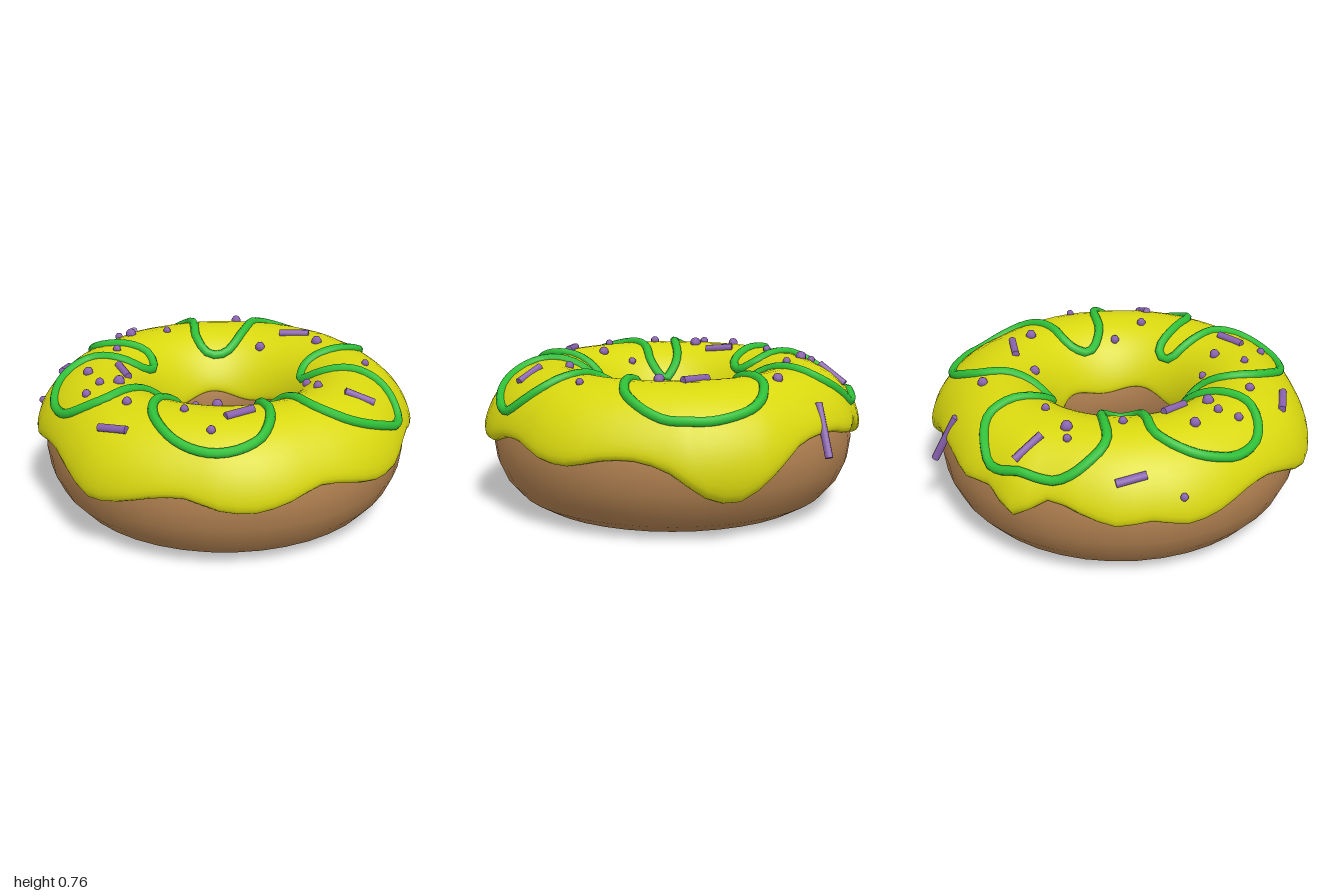
import * as THREE from 'three';
import { ParametricGeometry } from 'three/addons/geometries/ParametricGeometry.js';

const material = (name, color) => Object.assign(new THREE.MeshStandardMaterial({ color }), { name });

// Ring cross-section: centre radius, centre height and radii of the dough
const RING = 0.62, MID = 0.35, RX = 0.31, RY = 0.35;
const TOP_COAT = 0.023, INNER_COAT = 0.014;

// Height of the dripping icing edge every 10 degrees, from the front towards +x
const DRIPS = [
  0.315, 0.34, 0.39, 0.41, 0.36, 0.345, 0.38, 0.43, 0.40, 0.36, 0.365, 0.415,
  0.42, 0.37, 0.36, 0.40, 0.41, 0.36, 0.24, 0.21, 0.32, 0.43, 0.46, 0.45,
  0.41, 0.43, 0.34, 0.45, 0.41, 0.36, 0.38, 0.345, 0.37, 0.42, 0.43, 0.38,
];

function dripHeight(theta) {
  const n = DRIPS.length;
  const f = ((theta / (Math.PI * 2)) * n + n) % n;
  const i = Math.floor(f), t = f - i;
  const [a, b, c, d] = [-1, 0, 1, 2].map(k => DRIPS[(i + k + n) % n]);
  return b + 0.5 * t * (c - a + t * (2 * a - 5 * b + 4 * c - d + t * (3 * (b - c) + d - a)));
}

// Low drips are thicker
const outerCoat = theta =>
  THREE.MathUtils.clamp(0.037 + (0.42 - dripHeight(theta)) * 0.25, 0.024, 0.067);

// Point on the upper icing surface above (x, z)
function onIcing(x, z, lift = 0) {
  const d = Math.hypot(x, z) - RING;
  const rx = RX + (d > 0 ? outerCoat(Math.atan2(x, z)) : INNER_COAT);
  const y = MID + (RY + TOP_COAT) * Math.sqrt(Math.max(0, 1 - (d / rx) ** 2));
  return new THREE.Vector3(x, y + lift, z);
}

// Icing shell: u runs around the ring, v from the outer lip over the top to the inner lip
function icingPoint(u, v, target) {
  const theta = u * Math.PI * 2;
  const s = -Math.cos(v * Math.PI);
  const start = Math.asin((dripHeight(theta) - MID) / RY);
  const end = Math.PI - 0.2 - 0.06 * Math.sin(theta * 5);
  const a = THREE.MathUtils.lerp(start, end, (s + 1) / 2);
  const w = Math.sqrt(Math.max(0, 1 - Math.abs(s) ** 24)) * 1.06 - 0.06;
  const side = Math.cos(a) > 0 ? outerCoat(theta) : INNER_COAT;
  const r = RING + (RX + side * w) * Math.cos(a);
  const y = MID + (RY + TOP_COAT * w) * Math.sin(a);
  target.set(r * Math.sin(theta), y, r * Math.cos(theta));
}

// Five-lobed piped line, seen from above as x, z pairs
const PIPING = [
  -0.02, -0.91, 0.2, -0.86, 0.33, -0.7, 0.3, -0.53, 0.23, -0.385, 0.28, -0.28, 0.4, -0.275,
  0.56, -0.37, 0.72, -0.4, 0.86, -0.32, 0.89, -0.13, 0.825, 0.05, 0.68, 0.14, 0.53, 0.11,
  0.4, 0.075, 0.36, 0.15, 0.455, 0.25, 0.59, 0.345, 0.655, 0.5, 0.56, 0.67, 0.35, 0.75,
  0.16, 0.69, 0.07, 0.555, 0.05, 0.41, -0.015, 0.35, -0.09, 0.41, -0.11, 0.58, -0.14, 0.725,
  -0.285, 0.81, -0.47, 0.75, -0.6, 0.58, -0.59, 0.4, -0.47, 0.31, -0.38, 0.23, -0.39, 0.13,
  -0.47, 0.09, -0.58, 0.14, -0.735, 0.21, -0.88, 0.105, -0.91, -0.105, -0.86, -0.32,
  -0.68, -0.42, -0.55, -0.355, -0.435, -0.25, -0.34, -0.23, -0.26, -0.32, -0.275, -0.475,
  -0.33, -0.635, -0.26, -0.82,
];

// Rod sprinkles: centre x, z and span dx, dz
const RODS = [
  [-0.62, -0.69, 0.025, 0.12], [-0.015, -0.59, 0.135, -0.085], [-0.82, -0.14, 0.11, 0.09],
  [0.745, -0.145, 0.11, -0.09], [-0.82, 0.37, 0.08, 0.12], [-0.33, 0.405, 0.135, 0.06],
  [0.485, 0.445, -0.05, 0.14], [0.05, 0.845, 0.15, -0.035],
];

// Bead sprinkles: x, z and radius
const BEADS = [
  [-0.42, -0.57, 0.027], [-0.12, -0.425, 0.027], [0.155, -0.57, 0.028], [0.525, -0.5, 0.02],
  [0.395, -0.18, 0.024], [0.54, -0.08, 0.024], [-0.57, -0.16, 0.021], [-0.69, 0, 0.03],
  [-0.755, 0.03, 0.021], [-0.56, 0.23, 0.022], [-0.745, 0.6, 0.02], [-0.44, 0.545, 0.027],
  [-0.22, 0.54, 0.03], [-0.285, 0.61, 0.023], [-0.275, 0.71, 0.023], [-0.01, 0.69, 0.024],
  [0.16, 0.395, 0.021], [0.315, 0.41, 0.027], [0.265, 0.585, 0.021], [0.465, 0.62, 0.022],
];

export function createModel() {
  const model = new THREE.Group();
  model.name = 'donut';
  const doughMat = material('brown dough', 0xb08050);
  const icingMat = material('yellow icing', 0xd9d80f);
  const pipingMat = material('green piping', 0x2fc038);
  const sprinkleMat = material('purple sprinkle', 0x8a62b0);

  const add = (name, geometry, mat, parent = model) => {
    const mesh = new THREE.Mesh(geometry, mat);
    mesh.name = name;
    parent.add(mesh);
    return mesh;
  };

  // Dough ring, profile seam hidden under the icing
  const profile = [];
  for (let i = 0; i <= 20; i++) {
    const a = Math.PI / 2 + (i / 20) * Math.PI * 2;
    profile.push(new THREE.Vector2(RING + RX * Math.cos(a), MID + RY * Math.sin(a)));
  }
  add('dough', new THREE.LatheGeometry(profile, 40), doughMat);

  // Dripping icing
  add('icing', new ParametricGeometry(icingPoint, 72, 28), icingMat);

  // Piped line draped over the icing
  const flat = [];
  for (let i = 0; i < PIPING.length; i += 2) flat.push(new THREE.Vector3(PIPING[i], 0, PIPING[i + 1]));
  const outline = new THREE.CatmullRomCurve3(flat, true);
  const draped = [];
  for (let i = 0; i < 120; i++) {
    const p = outline.getPoint(i / 120);
    draped.push(onIcing(p.x, p.z, 0.003));
  }
  const path = new THREE.CatmullRomCurve3(draped, true);
  add('piping', new THREE.TubeGeometry(path, 200, 0.024, 8, true), pipingMat);

  // Sprinkles
  const sprinkles = new THREE.Group();
  sprinkles.name = 'sprinkles';
  model.add(sprinkles);
  const up = new THREE.Vector3(0, 1, 0);
  for (const [x, z, dx, dz] of RODS) {
    const a = onIcing(x - dx / 2, z - dz / 2, 0.008);
    const b = onIcing(x + dx / 2, z + dz / 2, 0.008);
    const rod = add('rodSprinkle', new THREE.CylinderGeometry(0.02, 0.02, a.distanceTo(b), 8), sprinkleMat, sprinkles);
    rod.position.copy(a).add(b).multiplyScalar(0.5);
    rod.quaternion.setFromUnitVectors(up, b.sub(a).normalize());
  }
  for (const [x, z, r] of BEADS) {
    add('beadSprinkle', new THREE.SphereGeometry(r, 7, 5), sprinkleMat, sprinkles)
      .position.copy(onIcing(x, z, 0.006));
  }
  return model;
}
